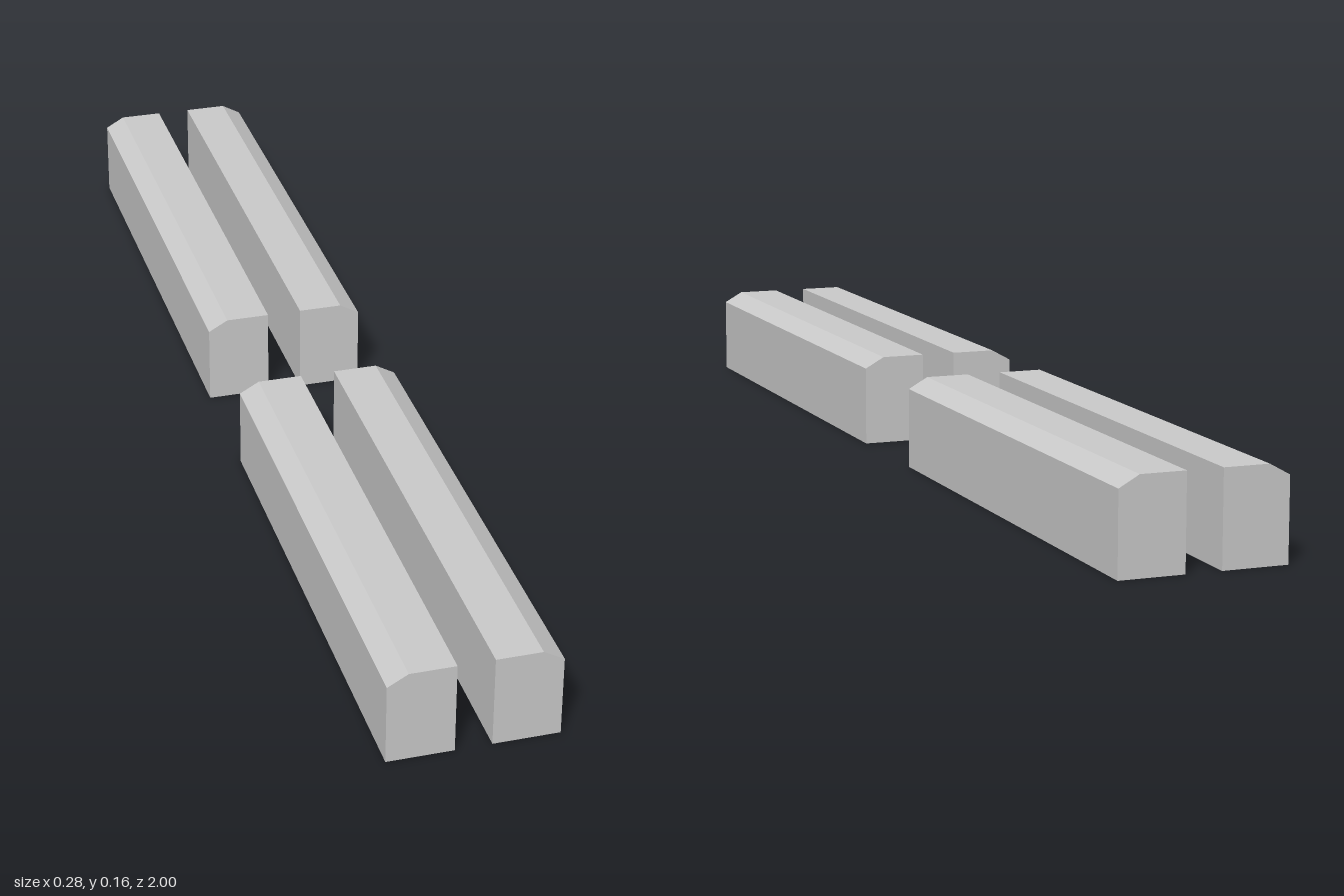
import * as THREE from 'three';

const INNER = 0.03, OUTER = 0.14, HEIGHT = 0.157; // rail cross-section
const BEVEL_X = 0.106, BEVEL_Y = 0.138;           // chamfer on the outer top edge
const Z_START = 0.113, Z_END = 1;                 // rail extent from the middle gap

// One chamfered rail; side is +1 (left) or -1 (right)
function railGeometry(side) {
  const profile = [
    [INNER, 0], [OUTER, 0], [OUTER, BEVEL_Y], [BEVEL_X, HEIGHT], [INNER, HEIGHT],
  ].map(([x, y]) => new THREE.Vector2(side * x, y));
  return new THREE.ExtrudeGeometry(new THREE.Shape(profile), {
    depth: Z_END - Z_START,
    bevelEnabled: false,
  });
}

export function createModel() {
  const model = new THREE.Group();
  model.name = 'railBlocks';
  const material = new THREE.MeshStandardMaterial({ color: 0xcccccc, flatShading: true });

  // Two parallel rails, each split into a front and a back piece
  for (const [sideName, side] of [['Left', 1], ['Right', -1]]) {
    const geometry = railGeometry(side);
    for (const [endName, z] of [['front', Z_START], ['back', -Z_END]]) {
      const rail = new THREE.Mesh(geometry, material);
      rail.name = `${endName}${sideName}Rail`;
      rail.position.z = z;
      model.add(rail);
    }
  }
  return model;
}
